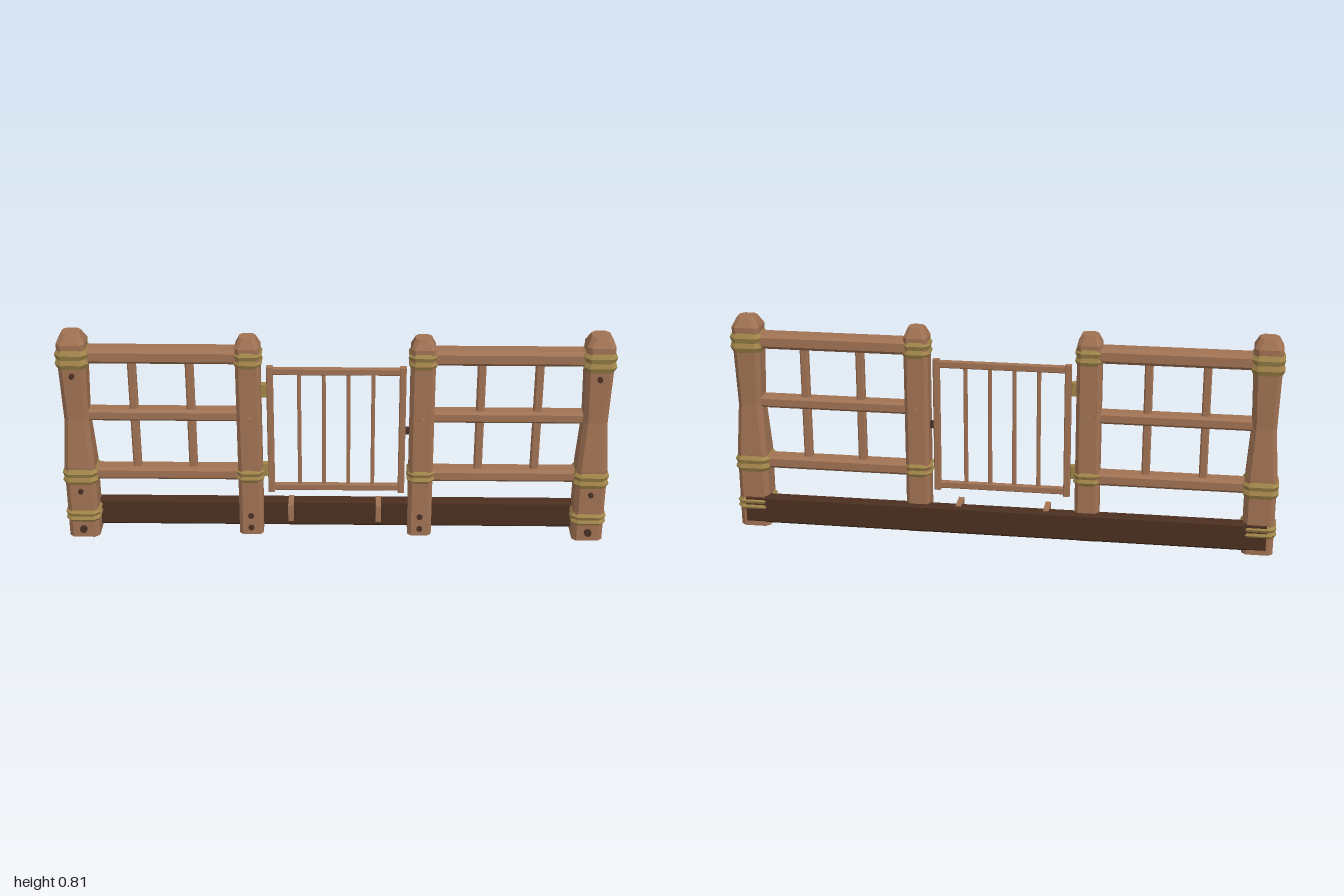
import * as THREE from 'three';

const mat = (name, color) => {
  const m = new THREE.MeshStandardMaterial({ color });
  m.name = name;
  return m;
};

// Upright bar with chamfered corners; levels are [y, halfX, halfZ, chamfer]
function loft(levels) {
  const rings = levels.map(([y, hx, hz, c]) => [
    [hx, hz - c], [hx - c, hz], [c - hx, hz], [-hx, hz - c],
    [-hx, c - hz], [c - hx, -hz], [hx - c, -hz], [hx, c - hz],
  ].map(([x, z]) => [x, y, z]));
  const pos = [];
  const tri = (a, b, c) => pos.push(...a, ...b, ...c);
  for (let r = 0; r < rings.length - 1; r++) {
    for (let i = 0; i < 8; i++) {
      const j = (i + 1) % 8;
      const a = rings[r][i], b = rings[r][j], c = rings[r + 1][j], d = rings[r + 1][i];
      tri(a, d, c);
      tri(a, c, b);
    }
  }
  const bottom = rings[0], top = rings[rings.length - 1];
  for (let i = 1; i < 7; i++) {
    tri(bottom[0], bottom[i], bottom[i + 1]);
    tri(top[0], top[i + 1], top[i]);
  }
  const g = new THREE.BufferGeometry();
  g.setAttribute('position', new THREE.Float32BufferAttribute(pos, 3));
  g.computeVertexNormals();
  return g;
}

// Square-section profile: [y, half] pairs with one chamfer
const square = (points, c) => loft(points.map(([y, h]) => [y, h, h, c]));

export function createModel() {
  const wood = mat('wood', 0xa07253);
  const darkWood = mat('dark wood', 0x4b2f20);
  const rope = mat('rope', 0xa1854a);
  const iron = mat('dark peg', 0x4a3024);

  const model = new THREE.Group();
  model.name = 'fenceWithGate';
  const Z = -0.002;

  const add = (parent, name, geo, material, x = 0, y = 0, z = 0) => {
    const m = new THREE.Mesh(geo, material);
    m.name = name;
    m.position.set(x, y, z);
    parent.add(m);
    return m;
  };
  // Chamfered bars between two ends
  const upright = (p, name, x, y0, y1, z, hx, hz, c, material = wood) =>
    add(p, name, loft([[y0, hx, hz, c], [y1, hx, hz, c]]), material, x, 0, z);
  const beam = (p, name, x0, x1, y, z, hy, hz, c, material = wood) => {
    const h = (x1 - x0) / 2;
    const g = loft([[-h, hy, hz, c], [h, hy, hz, c]]).rotateZ(Math.PI / 2);
    return add(p, name, g, material, (x0 + x1) / 2, y, z);
  };
  // Round peg lying along z
  const peg = (p, name, y, z0, z1, r, material) => {
    const g = new THREE.CylinderGeometry(r, r, z1 - z0, 8).rotateX(Math.PI / 2).toNonIndexed();
    g.computeVertexNormals();
    return add(p, name, g, material, 0, y, (z0 + z1) / 2);
  };
  // Doubled rope wrap: two bulges with a groove between
  const wrap = (p, y0, y1, h) => {
    const at = (t) => y0 + (y1 - y0) * t;
    add(p, 'ropeWrap', square([[y0, h - 0.007], [at(0.25), h], [at(0.5), h - 0.005],
      [at(0.75), h], [y1, h - 0.008]], 0.02), rope);
  };

  for (const side of [-1, 1]) {
    // Heavy waisted corner post
    const outer = new THREE.Group();
    outer.name = side > 0 ? 'leftOuterPost' : 'rightOuterPost';
    outer.position.set(side * 0.935, 0, Z);
    model.add(outer);
    add(outer, 'postShaft', square([[0, 0.056], [0.29, 0.056], [0.48, 0.044],
      [0.69, 0.05], [0.775, 0.051], [0.81, 0.033]], 0.016), wood);
    wrap(outer, 0.065, 0.113, 0.064);
    wrap(outer, 0.22, 0.282, 0.064);
    wrap(outer, 0.682, 0.755, 0.059);
    peg(outer, 'basePeg', 0.037, 0.03, 0.069, 0.014, iron);
    peg(outer, 'lowerPeg', 0.195, 0.03, 0.066, 0.01, iron);
    peg(outer, 'upperPeg', 0.658, 0.03, 0.062, 0.01, iron);

    // Slimmer gate post
    const inner = new THREE.Group();
    inner.name = side > 0 ? 'leftGatePost' : 'rightGatePost';
    inner.position.set(side * 0.312, 0, Z);
    model.add(inner);
    add(inner, 'postShaft', square([[0.01, 0.044], [0.76, 0.044], [0.795, 0.028]], 0.013), wood);
    wrap(inner, 0.228, 0.28, 0.051);
    wrap(inner, 0.685, 0.748, 0.051);
    peg(inner, 'throughPeg', 0.487, -0.053, 0.054, 0.01, wood);
    for (const y of [0.04, 0.09]) peg(inner, 'lowerPeg', y, 0.02, 0.051, 0.011, iron);

    // Fence panel
    const panel = new THREE.Group();
    panel.name = side > 0 ? 'leftPanel' : 'rightPanel';
    model.add(panel);
    const x0 = side > 0 ? 0.312 : -0.92, x1 = side > 0 ? 0.92 : -0.312;
    beam(panel, 'topRail', x0, x1, 0.722, -0.006, 0.028, 0.036, 0.012);
    beam(panel, 'middleRail', x0, x1, 0.488, -0.006, 0.022, 0.028, 0.009);
    beam(panel, 'lowerRail', x0, x1, 0.252, -0.006, 0.024, 0.032, 0.01);
    for (const x of [0.522, 0.728]) {
      upright(panel, 'baluster', side * x, 0.25, 0.72, -0.006, 0.015, 0.015, 0.005);
    }
  }

  // Long plank along the back
  beam(model, 'basePlank', -0.965, 0.965, 0.068, -0.039, 0.053, 0.023, 0.008, darkWood);

  // Gate
  const gate = new THREE.Group();
  gate.name = 'gate';
  gate.position.z = -0.006;
  model.add(gate);
  for (const x of [-0.236, 0.242]) upright(gate, 'gateStile', x, 0.17, 0.675, 0, 0.012, 0.012, 0.003);
  for (const y of [0.19, 0.658]) beam(gate, 'gateRail', -0.236, 0.242, y, 0, 0.013, 0.01, 0.003);
  for (let i = 0; i < 4; i++) {
    upright(gate, 'gateBar', -0.131 + i * 0.089, 0.19, 0.658, 0, 0.007, 0.007, 0.002);
  }
  for (const y of [0.265, 0.585]) {
    upright(gate, 'hinge', -0.259, y - 0.025, y + 0.025, 0.004, 0.012, 0.012, 0.004, rope);
  }
  add(gate, 'latch', new THREE.BoxGeometry(0.024, 0.026, 0.014), iron, 0.262, 0.424, 0);

  // Small stops under the gate, hooked over the plank
  const stop = new THREE.Shape([[-0.05, 0.126], [0.03, 0.126], [0.03, 0.06], [0.016, 0.06],
    [0.01, 0.1], [-0.05, 0.112]].map(([z, y]) => new THREE.Vector2(-z, y)));
  const stopGeo = new THREE.ExtrudeGeometry(stop, { depth: 0.02, bevelEnabled: false })
    .translate(0, 0, -0.01).rotateY(Math.PI / 2);
  for (const x of [-0.165, 0.16]) add(model, 'gateStop', stopGeo, wood, x);

  return model;
}
